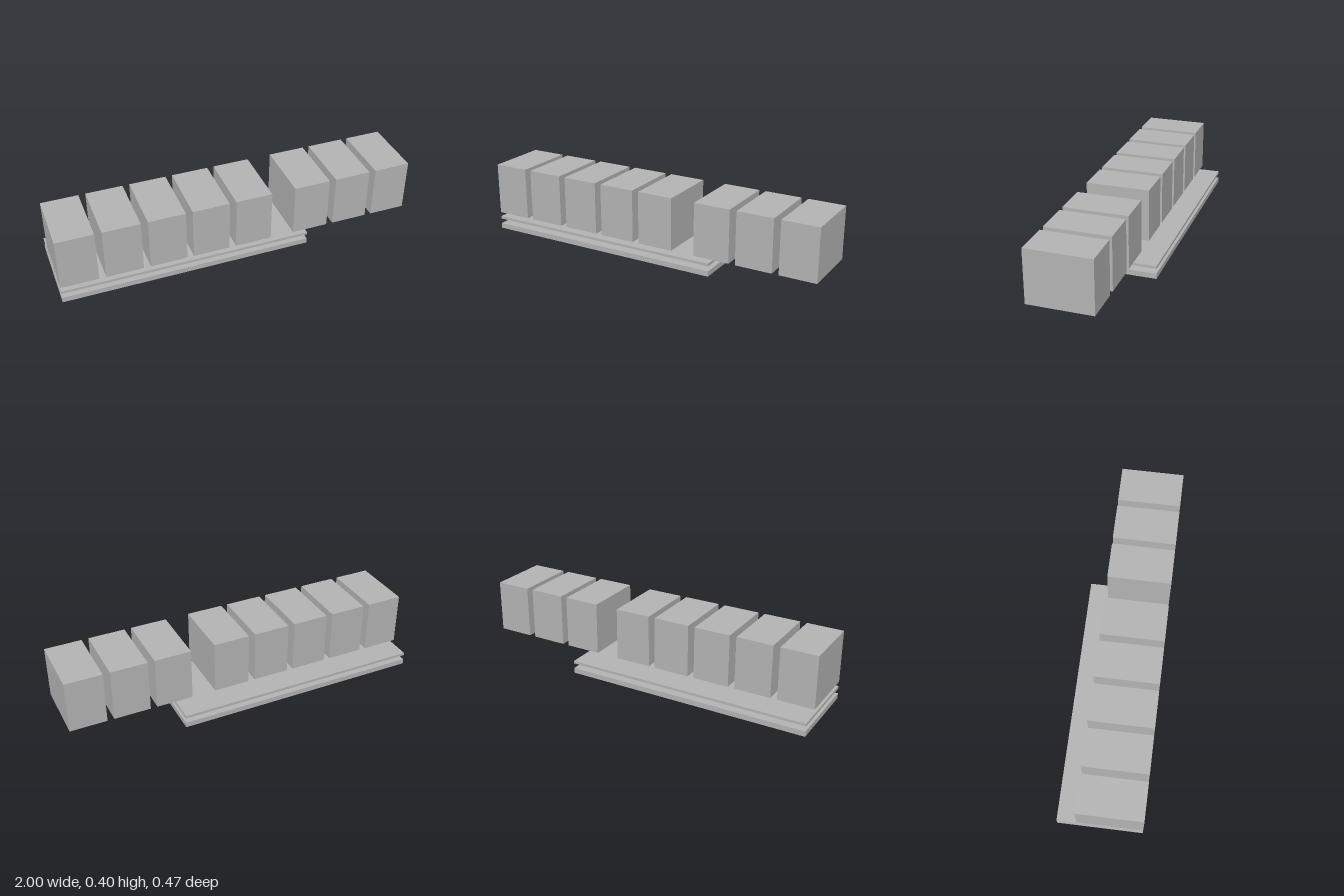
import * as THREE from 'three';

export function createModel() {
  const model = new THREE.Group();
  const grey = new THREE.MeshStandardMaterial({ color: 0xb2b2b2 });
  grey.name = 'plain grey';

  // Box given by its lower and upper limits on each axis
  function addBox(name, [x0, x1], [y0, y1], [z0, z1]) {
    const mesh = new THREE.Mesh(new THREE.BoxGeometry(x1 - x0, y1 - y0, z1 - z0), grey);
    mesh.name = name;
    mesh.position.set((x0 + x1) / 2, (y0 + y1) / 2, (z0 + z1) / 2);
    model.add(mesh);
  }

  // Two long slabs, one floating above the other
  const slabX = [-1, 0.398];
  const slabZ = [-0.234, 0.234];
  addBox('baseSlab', slabX, [0, 0.03], slabZ);
  addBox('upperSlab', slabX, [0.059, 0.074], slabZ);

  // Row of blocks: five, a wider gap, then three, flush with the slab front
  const width = 0.205;
  const pitch = 0.2425;
  function addRow(name, startX, count) {
    for (let i = 0; i < count; i++) {
      const x = startX + i * pitch;
      addBox(`${name}${i + 1}`, [x, x + width], [0.1, 0.397], [-0.122, 0.234]);
    }
  }
  addRow('rightBlock', -1, 5);
  addRow('leftBlock', 0.31, 3);

  return model;
}
